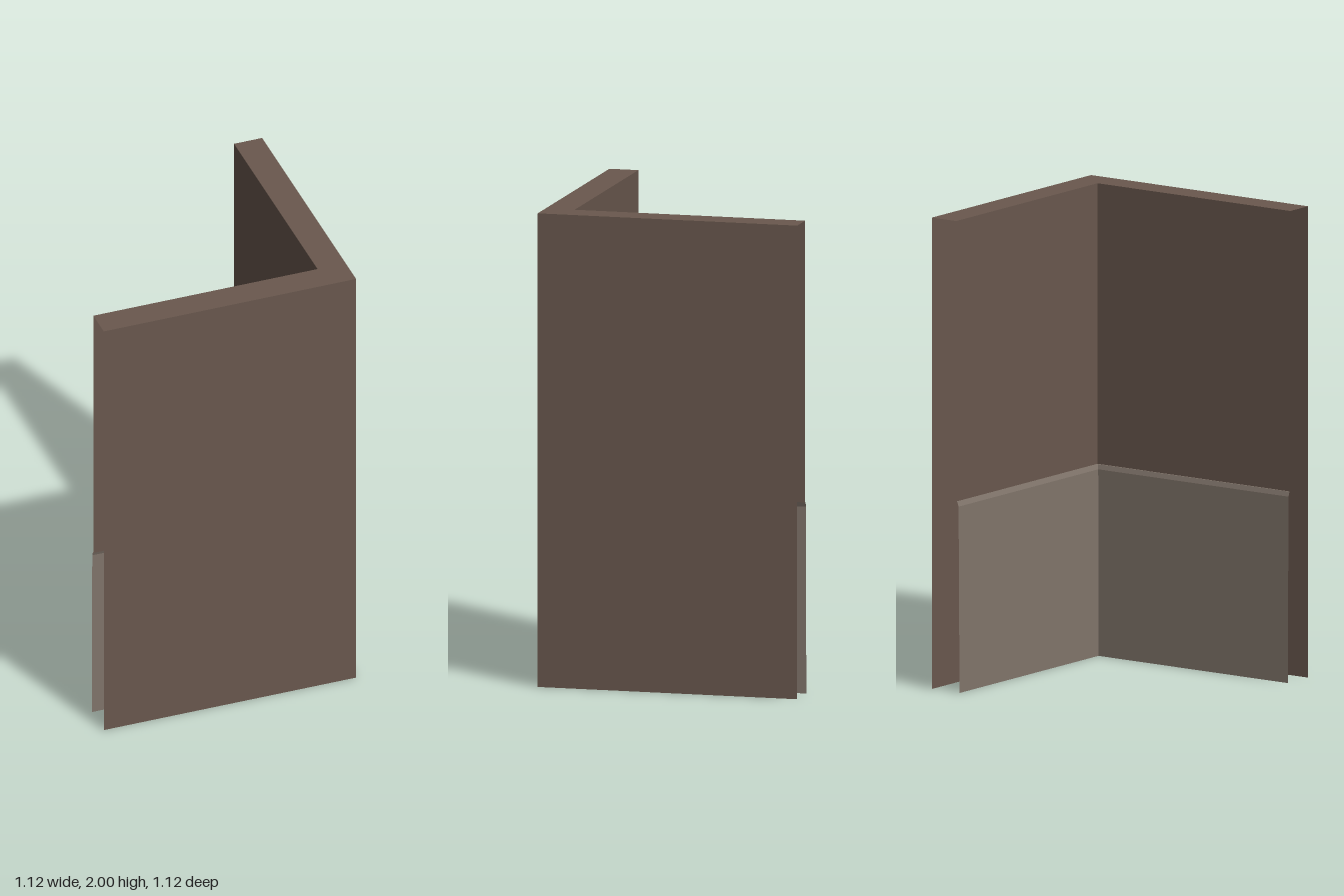
import * as THREE from 'three';

const END = 0.56; // outer face and open ends of both arms

// Sweeps a profile of [offset, height] points along the L-shaped plan, mitred at the corner.
function sweepCorner(name, profile, color) {
  const positions = [];
  const path = ([d, y]) => [[-END, y, d], [d, y, d], [d, y, -END]];
  for (let i = 0; i < profile.length - 1; i++) {
    const lower = path(profile[i]);
    const upper = path(profile[i + 1]);
    for (let j = 0; j < 2; j++) {
      const [a, b, c, d] = [lower[j], lower[j + 1], upper[j + 1], upper[j]];
      positions.push(...a, ...b, ...c, ...a, ...c, ...d);
    }
  }
  const geometry = new THREE.BufferGeometry();
  geometry.setAttribute('position', new THREE.Float32BufferAttribute(positions, 3));
  geometry.computeVertexNormals();
  const material = new THREE.MeshStandardMaterial({ color, side: THREE.DoubleSide });
  const mesh = new THREE.Mesh(geometry, material);
  mesh.name = name;
  return mesh;
}

export function createModel() {
  const group = new THREE.Group();
  group.name = 'cornerWall';

  // Outer faces, top edge and upper inner faces; ends and bottom stay open
  group.add(sweepCorner('wallShell', [[END, 0], [END, 2], [0.435, 2], [0.435, 0.81]], 0x6a584e));

  // Lower inner panelling with a small bevelled ledge and a slight outward lean
  group.add(sweepCorner('wainscot', [[0.435, 0.81], [0.429, 0.81], [0.422, 0.79], [0.417, 0]], 0x81756b));

  return group;
}
